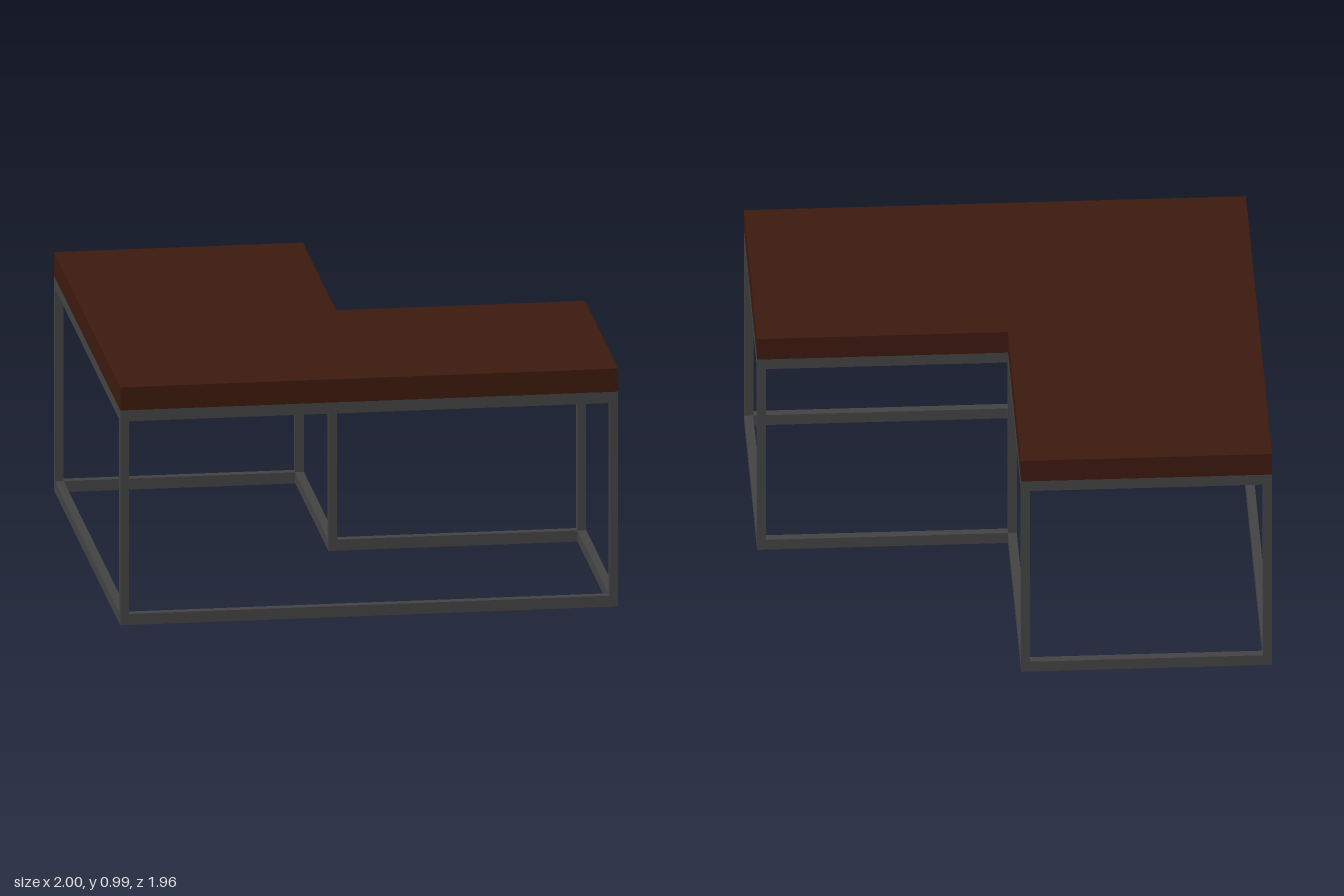
import * as THREE from 'three';

const W = 0.035;       // tube width
const RAIL = 0.046;    // rail height
const UNDER = 0.89;    // underside of the top
const TOP = 0.986;     // upper face of the top
const X = 1, Z = 0.978;

// L-shaped outline in (x, z), moved inwards by d
const outline = (d) => [
  [-X + d, -Z + d], [-d, -Z + d], [-d, d],
  [X - d, d], [X - d, Z - d], [-X + d, Z - d],
].map(([x, z]) => new THREE.Vector2(x, z));

// Extrude a floor-plan shape between two heights
function slab(shape, y0, y1) {
  const geo = new THREE.ExtrudeGeometry(shape, { depth: y1 - y0, bevelEnabled: false });
  return geo.rotateX(Math.PI / 2).translate(0, y1, 0);
}

export function createModel() {
  const group = new THREE.Group();
  const wood = new THREE.MeshStandardMaterial({ color: 0x3d1a0e });
  const metal = new THREE.MeshStandardMaterial({ color: 0x444444 });
  const add = (name, geo, mat) => {
    const mesh = new THREE.Mesh(geo, mat);
    mesh.name = name;
    group.add(mesh);
    return mesh;
  };

  // Wooden top
  add('tableTop', slab(new THREE.Shape(outline(0)), UNDER, TOP), wood);

  // Rails following the outline at floor and under the top
  const ring = new THREE.Shape(outline(0));
  ring.holes.push(new THREE.Path(outline(W)));
  add('lowerFrame', slab(ring, 0, RAIL), metal);
  add('upperFrame', slab(ring, UNDER - RAIL, UNDER), metal);

  // One leg at each of the six corners
  const legHeight = UNDER - 2 * RAIL;
  const legGeo = new THREE.BoxGeometry(W, legHeight, W);
  outline(W / 2).forEach((p, i) => {
    add(`leg${i + 1}`, legGeo, metal).position.set(p.x, RAIL + legHeight / 2, p.y);
  });

  return group;
}
